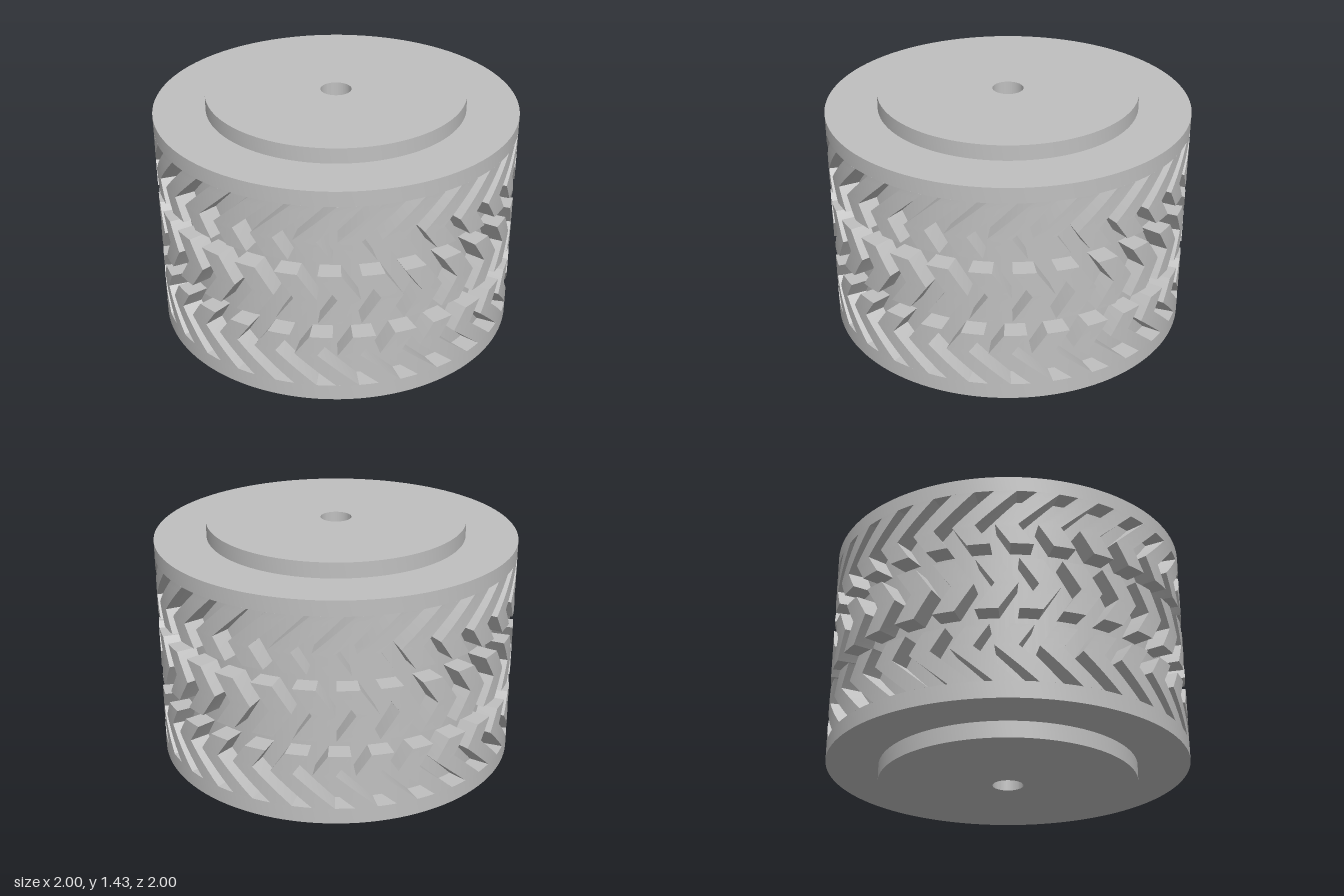
import * as THREE from 'three';
import { toCreasedNormals } from 'three/addons/utils/BufferGeometryUtils.js';

const COUNT = 28;            // tread blocks per row
const PITCH = (Math.PI * 2) / COUNT;
const BLOCK = 0.12;          // angular width of a block
const START = -0.014;        // angle of the first block's edge at the bend
const R_OUT = 1, R_CORE = 0.887, R_HUB = 0.713, R_BORE = 0.085;

// Chevron block: a box bent round the drum, its sides following the
// line low -> bend -> high, each given as [y, angle shift]
function chevronGeometry(low, bend, high) {
  const geo = new THREE.BoxGeometry(1, 1, 1, 3, 12, 1);
  const pos = geo.attributes.position;
  for (let i = 0; i < pos.count; i++) {
    const v = pos.getY(i) + 0.5;
    const [a, b, t] = v < 0.5 ? [low, bend, v * 2] : [bend, high, v * 2 - 1];
    const y = THREE.MathUtils.lerp(a[0], b[0], t);
    const angle = START + THREE.MathUtils.lerp(a[1], b[1], t) + (pos.getX(i) + 0.5) * BLOCK;
    const r = pos.getZ(i) > 0 ? R_OUT : R_CORE - 0.02;
    pos.setXYZ(i, Math.sin(angle) * r, y, Math.cos(angle) * r);
  }
  return toCreasedNormals(geo, 0.5);
}

export function createModel() {
  const model = new THREE.Group();
  model.name = 'treadedWheel';
  const grey = new THREE.MeshStandardMaterial({ color: 0xc0c0c0 });
  grey.name = 'grey';

  // Drum with hubs, shoulders, recessed core and a through bore
  const profile = [
    [R_BORE, 0], [R_HUB, 0], [R_HUB, 0.09], [R_OUT, 0.09], [R_OUT, 0.18], [R_CORE, 0.18],
    [R_CORE, 1.26], [R_OUT, 1.26], [R_OUT, 1.345], [R_HUB, 1.345], [R_HUB, 1.43], [R_BORE, 1.43],
    [R_BORE, 0],
  ].map(([x, y]) => new THREE.Vector2(x, y));
  const drum = new THREE.Mesh(toCreasedNormals(new THREE.LatheGeometry(profile, 112), 0.5), grey);
  drum.name = 'drum';
  model.add(drum);

  // Three tread rows; the middle one points the other way
  const rows = {
    lowerTread: [[0.18, 0.22], [0.373, 0], [0.487, 0.08]],
    middleTread: [[0.575, -0.1], [0.718, 0], [0.86, -0.1]],
    upperTread: [[0.945, 0.08], [1.06, 0], [1.26, 0.22]],
  };
  for (const [name, path] of Object.entries(rows)) {
    const row = new THREE.Group();
    row.name = name;
    const geo = chevronGeometry(...path);
    for (let i = 0; i < COUNT; i++) {
      const block = new THREE.Mesh(geo, grey);
      block.name = 'treadBlock';
      block.rotation.y = i * PITCH;
      row.add(block);
    }
    model.add(row);
  }
  return model;
}
